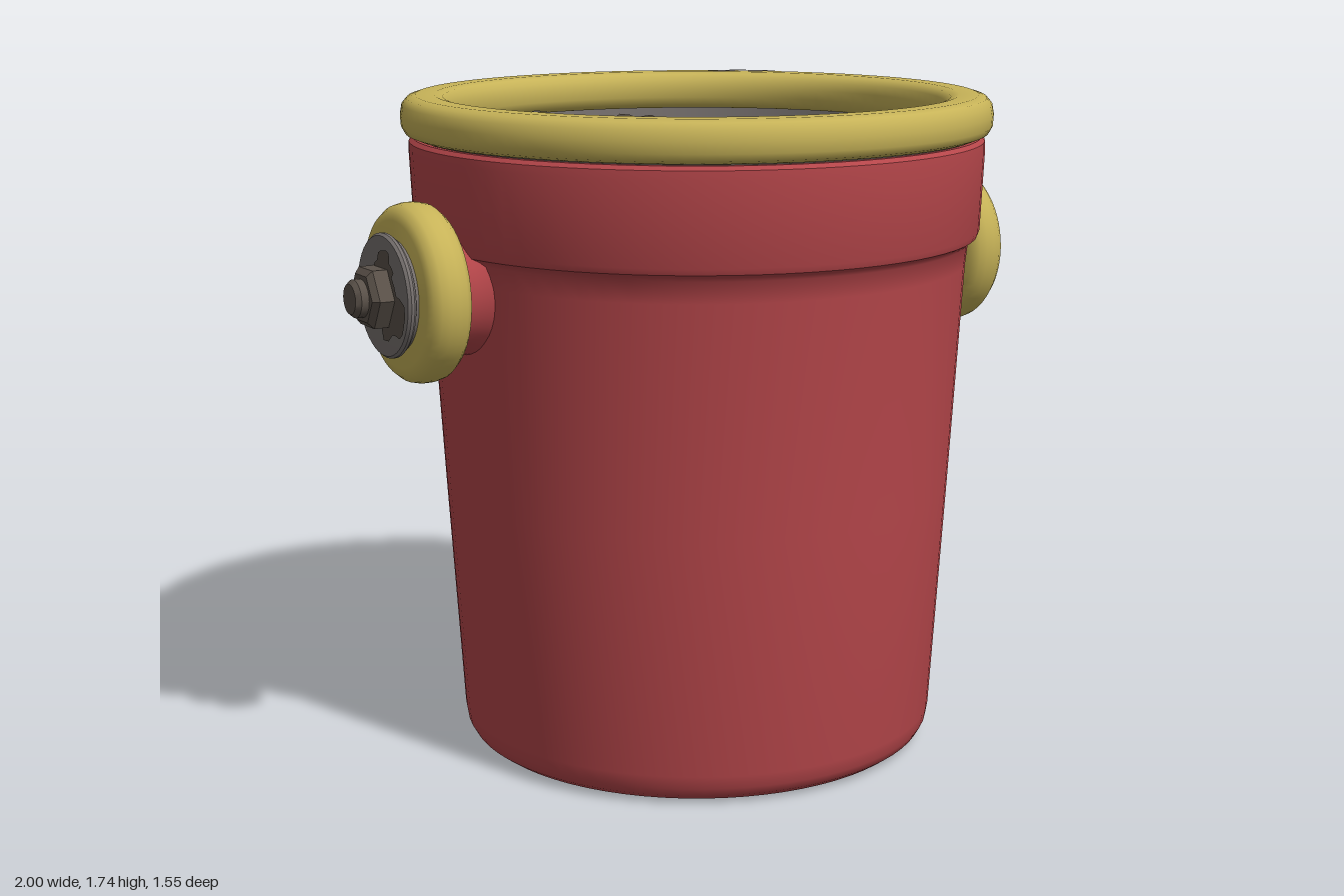
import * as THREE from 'three';
import { toCreasedNormals } from 'three/addons/utils/BufferGeometryUtils.js';

const flat = (name, color) => {
  const m = new THREE.MeshStandardMaterial({ color });
  m.name = name;
  return m;
};

export function createModel() {
  const red = flat('red paint', 0xb5464a);
  const yellow = flat('yellow paint', 0xc7b358);
  const grey = flat('worn metal', 0x77716f);
  const dark = flat('dark metal', 0x5a5149);

  const model = new THREE.Group();
  model.name = 'bucket';

  const add = (parent, name, geometry, material) => {
    const mesh = new THREE.Mesh(geometry, material);
    mesh.name = name;
    parent.add(mesh);
    return mesh;
  };
  const turned = (points, segments = 72) =>
    new THREE.LatheGeometry(points.map(([r, y]) => new THREE.Vector2(r, y)), segments);
  const crease = (geometry) => toCreasedNormals(geometry, 0.65);

  // Uneven flat spot used for chipped paint
  const chip = (w, h, seed) => {
    const pts = [];
    for (let i = 0; i < 20; i++) {
      const a = (i / 20) * Math.PI * 2;
      const k = 1 + 0.18 * Math.sin(3 * a + seed) + 0.12 * Math.sin(5 * a + seed * 2.3);
      pts.push(new THREE.Vector2(Math.cos(a) * w * k, Math.sin(a) * h * k));
    }
    return new THREE.ShapeGeometry(new THREE.Shape(pts));
  };

  // Outer shell with rounded foot and stepped upper band
  add(model, 'outerShell', crease(turned([
    [0, 0], [0.57, 0], [0.6, 0.006], [0.622, 0.022], [0.635, 0.045], [0.641, 0.08],
    [0.678, 0.7], [0.712, 1.3], [0.718, 1.355], [0.728, 1.366], [0.741, 1.374], [0.747, 1.39],
    [0.756, 1.6], [0.755, 1.622], [0.745, 1.632], [0.72, 1.633],
  ])), red);
  add(model, 'rimNeck', turned([[0.735, 1.625], [0.735, 1.65]]), dark);

  // Inner wall: red below, bare metal above, meeting on a wavy line
  const innerR = (y) => 0.585 + (y - 0.06) * 0.07;
  const edge = 1.44;
  const ripple = (geometry) => {
    const p = geometry.attributes.position;
    for (let i = 0; i < p.count; i++) {
      if (Math.abs(p.getY(i) - edge) > 0.001) continue;
      const a = Math.atan2(p.getX(i), p.getZ(i));
      const y = edge + 0.018 * Math.sin(7 * a) + 0.012 * Math.sin(16 * a + 1) + 0.007 * Math.sin(27 * a);
      p.setXYZ(i, Math.sin(a) * innerR(y), y, Math.cos(a) * innerR(y));
    }
    return geometry;
  };
  add(model, 'innerWall', ripple(turned([[innerR(edge), edge], [innerR(0.08), 0.08]], 120)), red);
  add(model, 'bareInnerBand', ripple(turned([[innerR(1.65), 1.65], [innerR(edge), edge]], 120)), grey);

  // Floor with a worn seam
  add(model, 'floorSeam', turned([[innerR(0.08), 0.08], [0.575, 0.062], [0.54, 0.06]]), grey);
  const floor = new THREE.CircleGeometry(0.57, 96);
  const fp = floor.attributes.position;
  for (let i = 1; i < fp.count; i++) {
    const a = Math.atan2(fp.getY(i), fp.getX(i));
    const k = 1 + 0.008 * Math.sin(5 * a) + 0.008 * Math.sin(13 * a + 2);
    fp.setXY(i, fp.getX(i) * k, fp.getY(i) * k);
  }
  add(model, 'floor', floor.rotateX(-Math.PI / 2), red).position.y = 0.066;

  // Rounded rim ring
  add(model, 'rim', turned([
    [0.7, 1.636], [0.745, 1.636], [0.764, 1.644], [0.774, 1.662], [0.776, 1.69], [0.771, 1.717],
    [0.757, 1.733], [0.735, 1.74], [0.685, 1.74], [0.664, 1.734], [0.65, 1.719], [0.645, 1.695],
    [0.647, 1.668], [0.656, 1.646], [0.675, 1.636], [0.7, 1.636],
  ], 96), yellow);

  // Chips on the rim: x, z, width, depth
  [[0.44, -0.545, 0.06, 0.022], [0.52, -0.49, 0.045, 0.025], [-0.62, 0.285, 0.02, 0.016]]
    .forEach(([x, z, w, h], i) => {
      add(model, 'rimChip', chip(w, h, i + 1).rotateX(-Math.PI / 2), grey).position.set(x, 1.742, z);
    });

  // Dark stains on the bare inner band: x, z, height, half width, half height
  [[-0.6, -0.34, 1.6, 0.08, 0.035], [-0.44, -0.53, 1.63, 0.06, 0.02], [-0.14, -0.67, 1.56, 0.09, 0.03],
    [-0.3, -0.62, 1.55, 0.025, 0.04], [0.2, -0.66, 1.58, 0.07, 0.04]]
    .forEach(([x, z, y, w, h], i) => {
      const a = Math.atan2(x, z);
      const r = innerR(y) - 0.008;
      const stain = add(model, 'innerStain', chip(w, h, i * 1.7), dark);
      stain.position.set(Math.sin(a) * r, y, Math.cos(a) * r);
      stain.rotation.y = a + Math.PI;
    });

  // Side hub, turned around its own y axis and then laid along x
  const makeHub = (name) => {
    const hub = new THREE.Group();
    hub.name = name;
    add(hub, 'boss', turned([[0.185, 0.64], [0.168, 0.7], [0.16, 0.73], [0.16, 0.79]], 40), red);
    add(hub, 'wheel', crease(turned([
      [0, 0.762], [0.18, 0.762], [0.206, 0.769], [0.221, 0.786], [0.226, 0.808], [0.226, 0.832],
      [0.221, 0.854], [0.207, 0.871], [0.185, 0.878], [0, 0.878],
    ], 56)), yellow);
    add(hub, 'washer', crease(turned([
      [0.14, 0.872], [0.14, 0.889], [0.15, 0.89], [0.156, 0.897], [0.156, 0.905], [0.15, 0.912], [0, 0.914],
    ], 48)), grey);
    const stain = add(hub, 'washerStain', chip(0.075, 0.07, 0.6).rotateX(-Math.PI / 2), dark);
    stain.position.set(-0.03, 0.9165, 0.062);
    const smallStain = add(hub, 'washerStain', chip(0.035, 0.05, 2).rotateX(-Math.PI / 2), dark);
    smallStain.position.set(0.08, 0.916, 0.02);
    const nut = new THREE.CylinderGeometry(0.083, 0.083, 0.045, 6).toNonIndexed();
    nut.computeVertexNormals();
    add(hub, 'nut', nut, dark).position.y = 0.932;
    const chamfer = new THREE.CylinderGeometry(0.066, 0.083, 0.014, 6).toNonIndexed();
    chamfer.computeVertexNormals();
    add(hub, 'nutChamfer', chamfer, dark).position.y = 0.9615;
    add(hub, 'boltEnd', crease(turned([
      [0.048, 0.95], [0.048, 0.988], [0.038, 1], [0, 1],
    ], 24)), dark);
    hub.position.y = 1.28;
    return hub;
  };
  for (const [name, side] of [['leftHub', 1], ['rightHub', -1]]) {
    const hub = makeHub(name);
    hub.rotation.z = -side * Math.PI / 2;
    model.add(hub);
  }

  return model;
}
